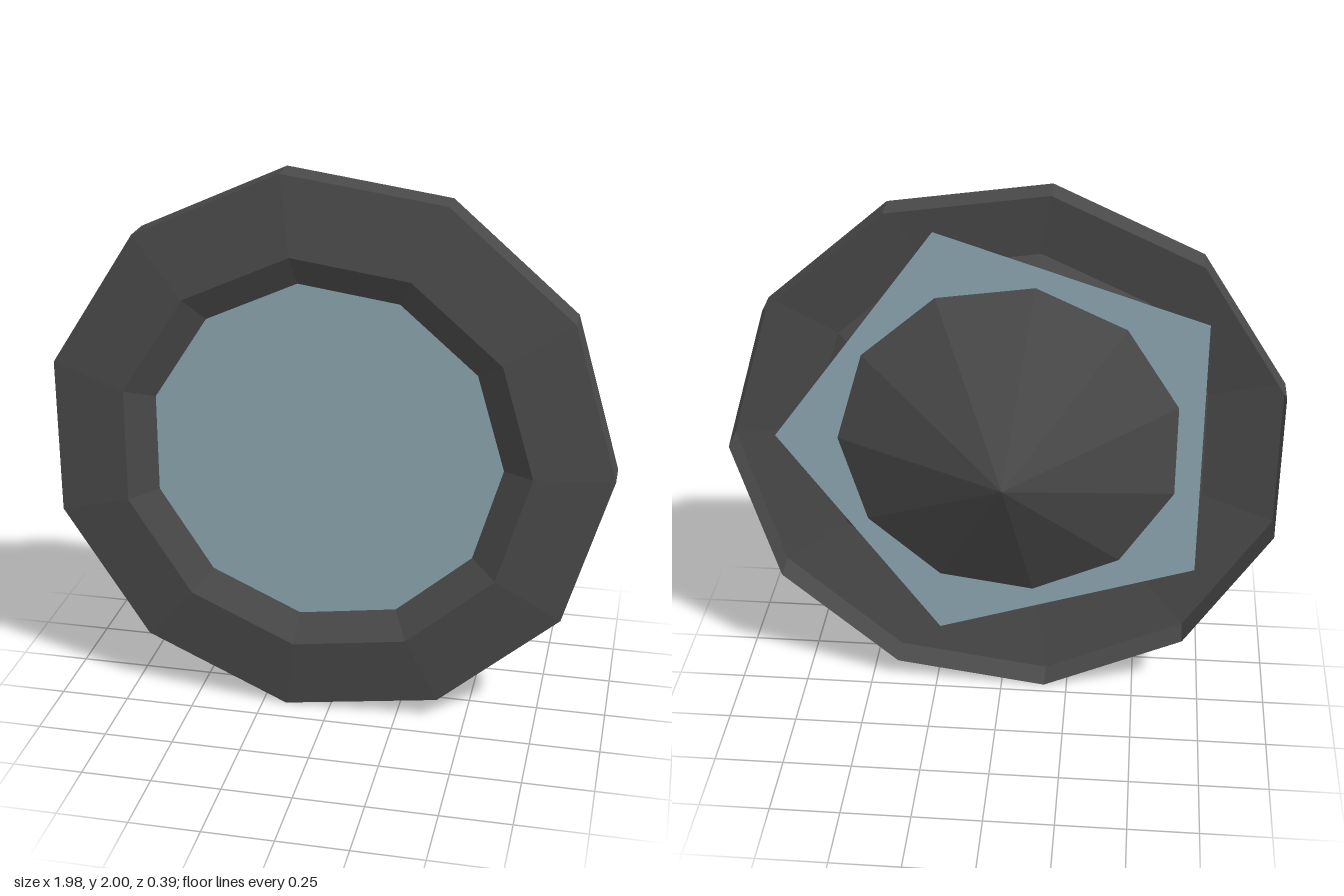
import * as THREE from 'three';

const SIDES = 11;

// Faceted surface turned around the z axis from [radius, z] points
function turned(points, material, name) {
  const profile = points.map(([r, z]) => new THREE.Vector2(r, z));
  const geometry = new THREE.LatheGeometry(profile, SIDES, Math.PI / 2, Math.PI * 2);
  geometry.rotateX(Math.PI / 2);
  const mesh = new THREE.Mesh(geometry, material);
  mesh.name = name;
  return mesh;
}

export function createModel() {
  const darkGrey = new THREE.MeshStandardMaterial({
    name: 'darkGrey', color: 0x4a4a4a, flatShading: true, side: THREE.DoubleSide,
  });
  const paleBlue = new THREE.MeshStandardMaterial({
    name: 'paleBlue', color: 0x8ca6b0, flatShading: true, side: THREE.DoubleSide,
  });

  const model = new THREE.Group();
  model.name = 'roundLamp';

  // Open-backed rim: outer wall and sloped front face
  model.add(turned([[1.01, 0.04], [1.01, 0.155], [0.735, 0.195]], darkGrey, 'rim'));

  // Cone-shaped bowl running from the rim's inner edge back to a point
  model.add(turned([[0.735, 0.195], [0, -0.195]], darkGrey, 'bowl'));

  // Flat five-sided pane cutting through the bowl
  const pane = new THREE.Mesh(new THREE.CircleGeometry(0.86, 5), paleBlue);
  pane.name = 'pane';
  pane.position.z = 0.139;
  model.add(pane);

  model.position.set(-0.02, 1, 0);
  const root = new THREE.Group();
  root.name = 'model';
  root.add(model);
  return root;
}
